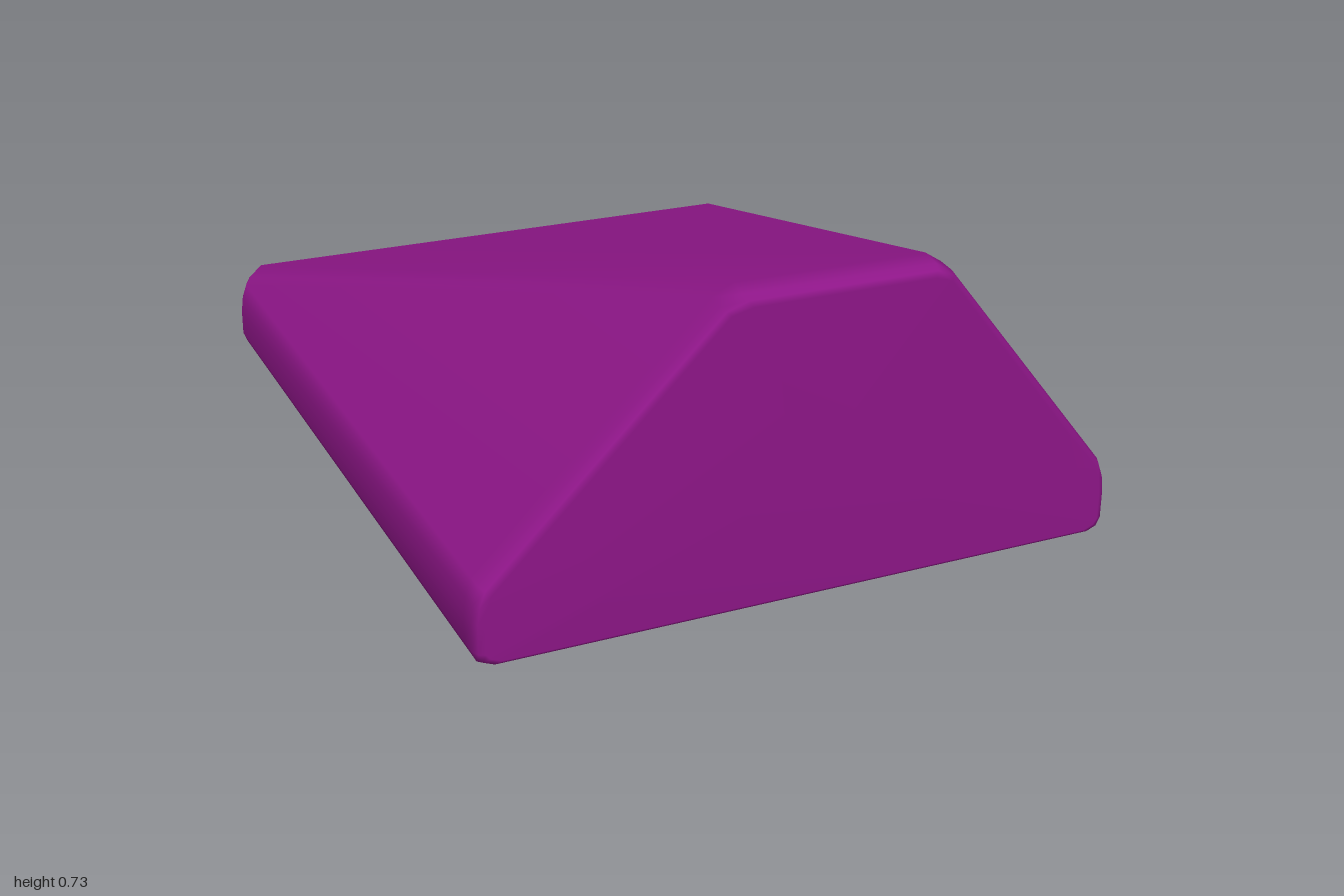
import * as THREE from 'three';

// Cross-sections from front to back: z, edge inset, drop of the top edge
const SECTIONS = [
  [1, 0.022, 0.033], [0.993, 0.008, 0.02], [0.975, 0, 0.01], [0.93, 0, 0],
  [-0.965, 0, 0], [-0.988, 0.007, 0.012], [-1, 0.022, 0.03],
];

// Rounded lower side, from the underside up to the shoulder: x, y
const SIDE = [[0.74, 0], [0.765, 0.01], [0.775, 0.035], [0.775, 0.1], [0.77, 0.14], [0.757, 0.18]];

// One half of a section; the ridge widens and sinks towards the back
function halfSection(z, inset, drop, sign) {
  const t = THREE.MathUtils.clamp((0.93 - z) / 1.895, 0, 1);
  const mix = (a, b) => THREE.MathUtils.lerp(a, b, t);
  const outerFront = sign > 0 ? 0.33 : 0.22;
  const innerFront = sign > 0 ? 0.29 : 0.17;
  const points = SIDE.map(([x, y], i) => {
    const lift = i < 2 ? inset * 0.6 : i === 5 ? -inset * 0.5 : 0;
    return [sign * (x - inset), y + lift, z];
  });
  points.push([sign * (mix(outerFront, 0.745) - inset * 0.6), mix(0.708, 0.2) - drop * 0.6, z]);
  points.push([sign * (mix(innerFront, 0.71) - inset * 0.6), mix(0.733, 0.232) - drop, z]);
  return points;
}

// Loft the sections and close both ends
function wedgeGeometry() {
  const positions = [];
  const index = [];
  let count = 0;
  for (const [z, inset, drop] of SECTIONS) {
    const ring = [...halfSection(z, inset, drop, 1), ...halfSection(z, inset, drop, -1).reverse()];
    count = ring.length;
    positions.push(...ring.flat());
  }
  const last = (SECTIONS.length - 1) * count;
  const frontCentre = last + count;
  positions.push(0, 0.3, 1, 0, 0.1, -1);
  for (let i = 0; i < count; i++) {
    const j = (i + 1) % count;
    for (let a = 0; a < last; a += count) {
      const b = a + count;
      index.push(a + i, b + i, b + j, a + i, b + j, a + j);
    }
    index.push(frontCentre, i, j);
    index.push(frontCentre + 1, last + j, last + i);
  }
  const geometry = new THREE.BufferGeometry();
  geometry.setAttribute('position', new THREE.Float32BufferAttribute(positions, 3));
  geometry.setIndex(index);
  geometry.computeVertexNormals(); // area-weighted: flat faces, soft bevels
  return geometry;
}

export function createModel() {
  const group = new THREE.Group();
  group.name = 'bevelledWedge';
  const body = new THREE.Mesh(wedgeGeometry(), new THREE.MeshStandardMaterial({ color: 0x8e1688 }));
  body.name = 'wedgeBody';
  group.add(body);
  return group;
}
